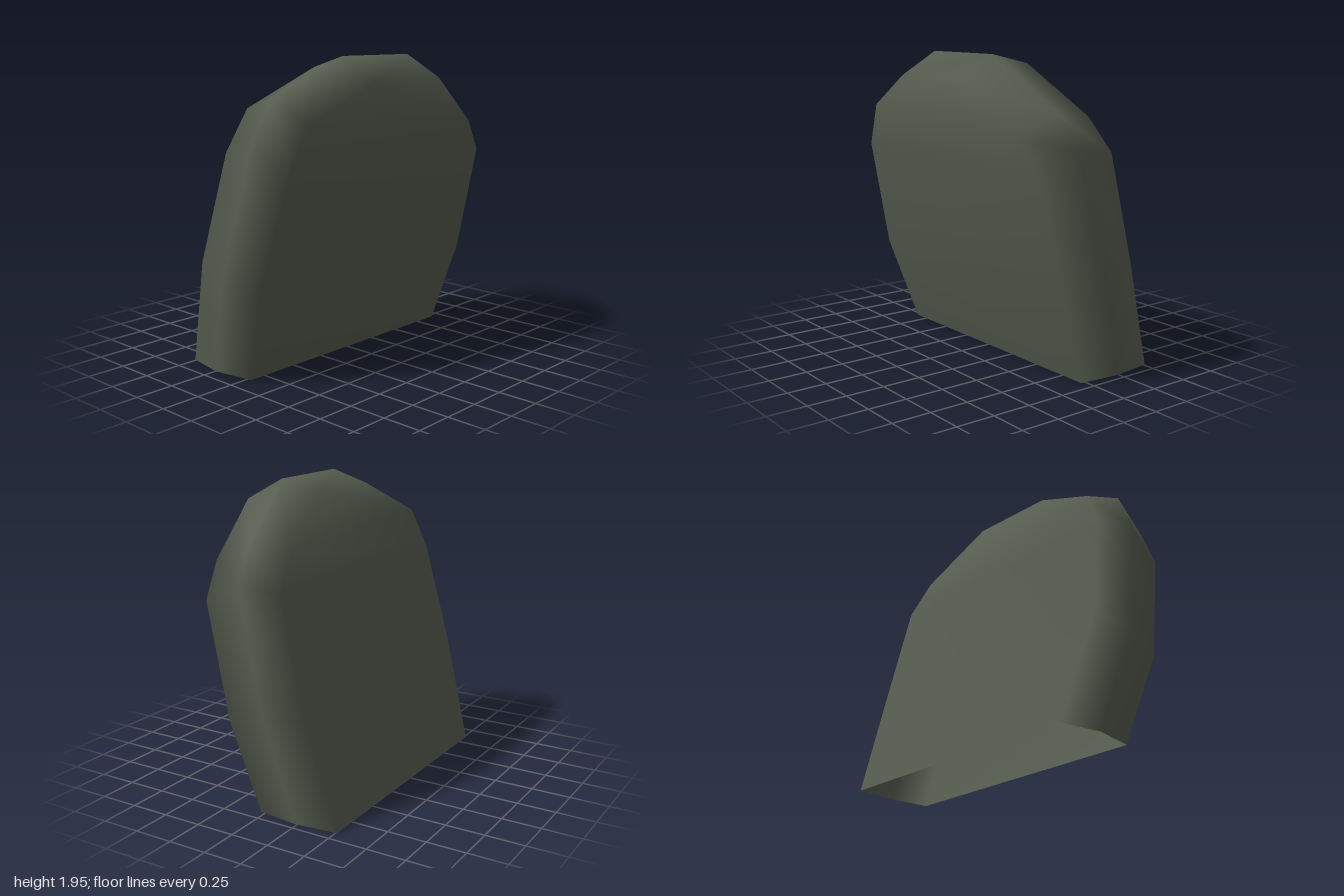
import * as THREE from 'three';

export function createModel() {
  const group = new THREE.Group();
  group.name = 'backrest';
  const fabric = new THREE.MeshStandardMaterial({ color: 0x575e50, side: THREE.DoubleSide });
  fabric.name = 'greyGreenFabric';

  // Each ring goes: front right, rim right, back right, back left, rim left, front left
  const rings = [
    [[-0.86, 0, 0.03], [-0.91, 0, -0.24], [-0.86, 0, -0.51], [0.92, 0, -0.51], [0.95, 0, -0.24], [0.92, 0, 0.03]],
    [[-0.95, 0.57, 0.21], [-1, 0.63, -0.06], [-0.95, 0.7, -0.3], [0.97, 0.7, -0.31], [1, 0.63, -0.06], [0.97, 0.57, 0.21]],
    [[-0.87, 1.3, 0.39], [-0.92, 1.43, 0.12], [-0.87, 1.38, -0.15], [0.94, 1.38, -0.16], [0.97, 1.4, 0.12], [0.94, 1.28, 0.38]],
    [[-0.74, 1.58, 0.42], [-0.78, 1.72, 0.16], [-0.74, 1.64, -0.1], [0.78, 1.58, -0.12], [0.82, 1.61, 0.15], [0.78, 1.49, 0.42]],
    [[-0.26, 1.8, 0.51], [-0.28, 1.945, 0.25], [-0.26, 1.87, -0.01], [0.33, 1.88, -0.02], [0.33, 1.94, 0.25], [0.33, 1.8, 0.51]],
  ];
  const n = 6;
  const index = [];
  const quad = (a, b, c, d) => index.push(a, b, c, a, c, d);

  // Walls between neighbouring rings
  for (let r = 0; r < rings.length - 1; r++) {
    for (let j = 0; j < n; j++) {
      const k = (j + 1) % n;
      quad(r * n + j, (r + 1) * n + j, (r + 1) * n + k, r * n + k);
    }
  }
  // Top closes over the rim; the underside stays open
  const t = (rings.length - 1) * n;
  quad(t, t + 5, t + 4, t + 1);
  quad(t + 1, t + 4, t + 3, t + 2);

  const geometry = new THREE.BufferGeometry();
  geometry.setAttribute('position', new THREE.Float32BufferAttribute(rings.flat(2), 3));
  geometry.setIndex(index);
  geometry.computeVertexNormals();

  const cushion = new THREE.Mesh(geometry, fabric);
  cushion.name = 'backCushion';
  group.add(cushion);
  return group;
}
